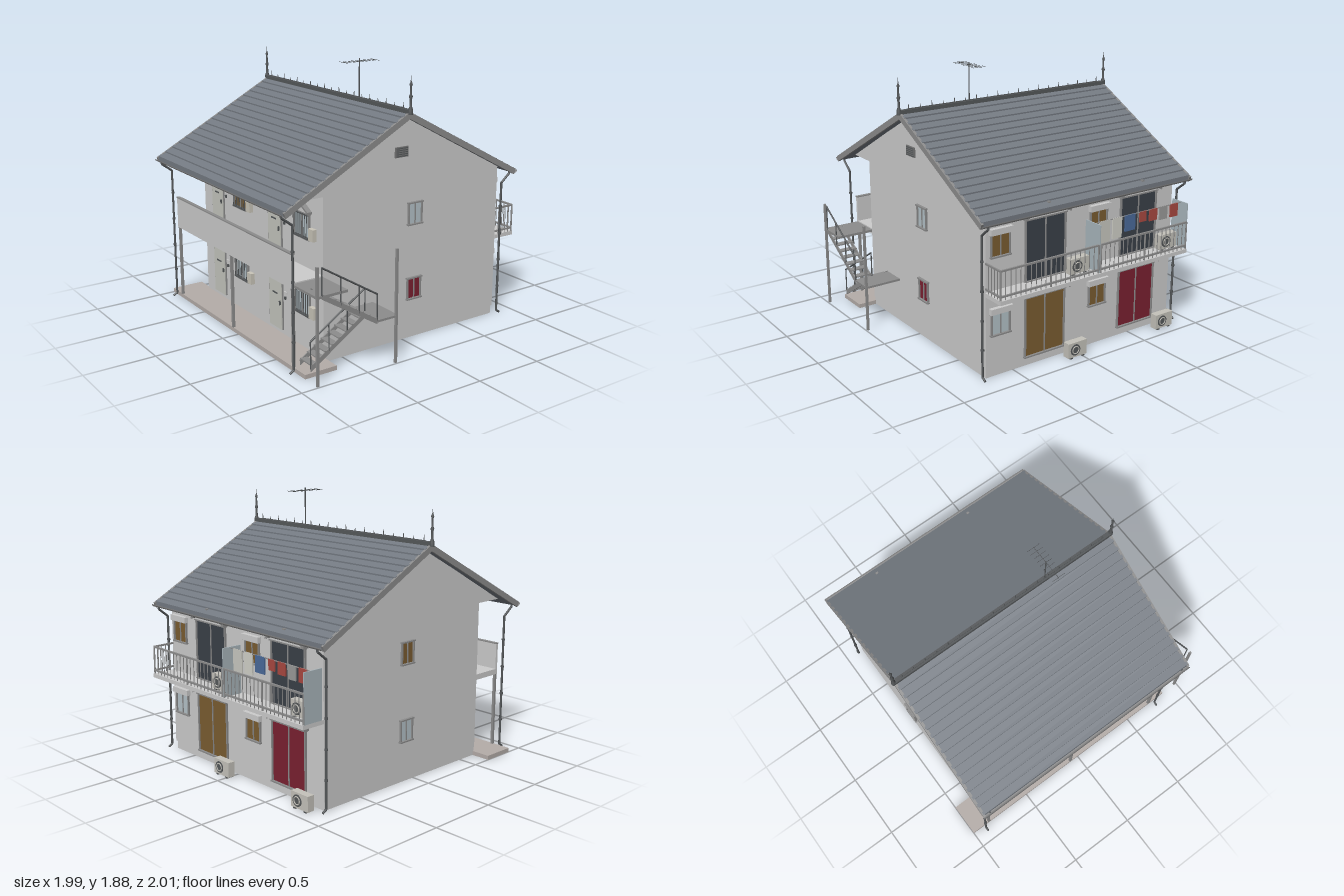
import * as THREE from 'three';

const WALL = 0xcccccc, DARK = 0x55585a, TRIM = 0x8c8c8c, GLASS = 0xb4c2c8, WOOD = 0x7a5c30, RED = 0x7a2030, NAVY = 0x3a4048;
const mats = {};
const mat = (c) => (mats[c] ??= new THREE.MeshStandardMaterial({ color: c, side: THREE.DoubleSide }));

function add(parent, name, geo, color = WALL) {
  const m = new THREE.Mesh(geo, mat(color));
  m.name = name;
  parent.add(m);
  return m;
}
function group(parent, name, x = 0, y = 0, z = 0, ry = 0) {
  const g = new THREE.Group();
  g.name = name;
  g.position.set(x, y, z);
  g.rotation.y = ry;
  parent.add(g);
  return g;
}
// box given by its limits on each axis
function box(p, name, x0, x1, y0, y1, z0, z1, color) {
  const g = new THREE.BoxGeometry(x1 - x0, y1 - y0, z1 - z0);
  return add(p, name, g.translate((x0 + x1) / 2, (y0 + y1) / 2, (z0 + z1) / 2), color);
}
// round rod between two points
function rod(p, name, a, b, r, color = DARK, r2 = r) {
  const A = new THREE.Vector3(...a), B = new THREE.Vector3(...b), d = B.clone().sub(A);
  const m = add(p, name, new THREE.CylinderGeometry(r2, r, d.length(), 8), color);
  m.position.copy(A).add(B).multiplyScalar(0.5);
  m.quaternion.setFromUnitVectors(new THREE.Vector3(0, 1, 0), d.normalize());
  return m;
}
// (z, y) outline extruded along x
function extrudeX(p, name, pts, x0, x1, color) {
  const s = new THREE.Shape(pts.map((q) => new THREE.Vector2(...q)));
  const g = new THREE.ExtrudeGeometry(s, { depth: x1 - x0, bevelEnabled: false });
  return add(p, name, g.rotateY(-Math.PI / 2).translate(x1, 0, 0), color);
}

// framed window or sliding door, facing local +z, origin at its bottom centre
function sash(p, name, w, h, pane, split = true) {
  const g = group(p, name), f = 0.01, d = 0.014;
  box(g, 'pane', -w / 2, w / 2, 0, h, -0.005, 0.004, pane);
  for (const s of [-1, 1]) box(g, 'sideFrame', s * w / 2 - f / 2, s * w / 2 + f / 2, 0, h, 0, d, TRIM);
  for (const y of [0, h]) box(g, 'crossFrame', -w / 2 - f, w / 2 + f, y - f / 2, y + f / 2, 0, d + 0.006, TRIM);
  if (split) box(g, 'meetingStile', -0.004, 0.004, 0, h, 0, 0.01, TRIM);
  return g;
}
// small gabled hood, origin at its base centre
function hood(p, w, h, depth) {
  const t = 0.016, g = group(p, 'gabledHood');
  const s = new THREE.Shape([[-w / 2, 0], [0, h], [w / 2, 0], [w / 2, t], [0, h + t], [-w / 2, t]].map((q) => new THREE.Vector2(...q)));
  add(g, 'hoodRoof', new THREE.ExtrudeGeometry(s, { depth, bevelEnabled: false }), TRIM);
  const tri = new THREE.Shape([[-w / 2 + 0.02, 0], [w / 2 - 0.02, 0], [0, h - 0.005]].map((q) => new THREE.Vector2(...q)));
  add(g, 'hoodFill', new THREE.ExtrudeGeometry(tri, { depth: depth * 0.5, bevelEnabled: false }), WALL);
  box(g, 'hoodRidge', -0.01, 0.01, h, h + 0.024, 0, depth + 0.003, TRIM);
  return g;
}

function roof(root) {
  const g = group(root, 'roof'), X0 = -0.955, X1 = 0.81, zr = 0.035, yr = 1.595, k = 0.533, L = 0.945, N = 17;
  const half = [];
  for (let i = 0; i < N; i++) {
    const a = (i * L) / N, b = ((i + 1) * L) / N;
    half.push([a, yr - k * a], [b, yr - k * b + 0.01]);
  }
  half.push([L, yr - k * L - 0.03]);
  const mirror = half.slice(1).reverse().map(([d, y]) => [zr - d, y]);
  extrudeX(g, 'tiles', [...half.map(([d, y]) => [zr + d, y]), [zr, yr - 0.03], ...mirror], X0 + 0.008, X1 - 0.008, 0x747a82);
  const e = L + 0.012, ye = yr + 0.006 - k * e;
  for (const x of [X0, X1 - 0.018])
    extrudeX(g, 'bargeboard', [[zr, yr + 0.006], [zr + e, ye], [zr + e - 0.015, ye - 0.036], [zr, yr - 0.04], [zr - e + 0.015, ye - 0.036], [zr - e, ye]], x, x + 0.018, TRIM);
  for (const s of [-1, 1]) {
    const c = new THREE.CylinderGeometry(0.02, 0.02, X1 - X0, 12, 1, true, 0, Math.PI);
    add(g, 'gutter', c.rotateZ(-Math.PI / 2).rotateX(0).translate((X0 + X1) / 2, 1.082, zr + s * 0.95), TRIM);
  }
  // ridge cap, cresting spikes and end finials
  box(g, 'ridgeCap', X0, X1, 1.585, 1.615, zr - 0.016, zr + 0.016, DARK);
  box(g, 'crestRail', X0 + 0.06, X1 - 0.06, 1.615, 1.62, zr - 0.004, zr + 0.004, DARK);
  for (let i = 0; i < 19; i++) {
    const x = -0.885 + i * 0.09;
    rod(g, 'crestSpike', [x, 1.61, zr], [x, i % 2 ? 1.64 : 1.655, zr], 0.005, DARK, 0.001);
  }
  const prof = [[0.016, 0], [0.016, 0.03], [0.009, 0.05], [0.008, 0.1], [0.013, 0.115], [0.007, 0.13], [0.006, 0.18], [0.011, 0.195], [0.004, 0.21], [0, 0.25]];
  for (const x of [X0 + 0.002, X1])
    add(g, 'finial', new THREE.LatheGeometry(prof.map((q) => new THREE.Vector2(...q)), 10).translate(x, 1.585, zr), DARK);
  // aerial
  const a = group(g, 'aerial', 0.255, 0, zr);
  rod(a, 'mast', [0, 1.58, 0], [0, 1.88, 0], 0.004);
  rod(a, 'boom', [0, 1.862, -0.135], [0, 1.862, 0.135], 0.002);
  for (let i = 0; i < 9; i++) rod(a, 'element', [-0.048, 1.862, -0.13 + i * 0.0325], [0.048, 1.862, -0.13 + i * 0.0325], 0.0015);
}

function frontBay(root, x, y, pane, lower) {
  const g = group(root, 'frontBay', x, y, 0.65);
  // door with frame, mail slot, bell
  box(g, 'doorFrame', -0.088, 0.088, 0, 0.382, 0, 0.008, TRIM);
  box(g, 'door', -0.078, 0.078, 0, 0.374, 0, 0.013, 0xc4c6be);
  box(g, 'mailSlot', -0.03, 0.03, 0.248, 0.258, 0, 0.017, DARK);
  box(g, 'handle', 0.062, 0.07, 0.18, 0.21, 0, 0.024, DARK);
  box(g, 'doorbell', 0.112, 0.126, 0.235, 0.255, 0, 0.012, DARK);
  box(g, 'namePlate', 0.1, 0.135, 0.275, 0.29, 0, 0.008, WALL);
  // barred window with hood, meter box
  const w = sash(g, 'frontWindow', 0.17, 0.17, pane);
  w.position.set(0.337, 0.208, 0);
  for (let i = 0; i < 8; i++) rod(w, 'windowBar', [-0.08 + i * 0.0229, 0, 0.022], [-0.08 + i * 0.0229, 0.17, 0.022], 0.0028);
  for (const yy of [0.006, 0.164]) box(w, 'barRail', -0.088, 0.088, yy - 0.004, yy + 0.004, 0.004, 0.026, DARK);
  hood(w, 0.215, 0.06, 0.035).position.y = 0.175;
  box(g, 'meterBox', 0.443, 0.498, 0.215, 0.295, 0, 0.03, 0xc8c4b8);
  if (lower) box(g, 'ceilingLamp', 0.11, 0.245, 0.475, 0.49, 0.09, 0.12, 0xd8d8d0);
}

function airConditioner(p, x, y) {
  const g = group(p, 'airConditioner', x, y, -0.905);
  box(g, 'casing', -0.078, 0.078, 0.01, 0.115, -0.026, 0.026, 0xc4c2ba);
  for (const s of [-0.05, 0.05]) box(g, 'foot', s - 0.01, s + 0.01, 0, 0.01, -0.026, 0.026, DARK);
  add(g, 'fan', new THREE.CylinderGeometry(0.04, 0.04, 0.006, 20).rotateX(Math.PI / 2).translate(0.02, 0.062, -0.027), DARK);
  add(g, 'fanRing', new THREE.TorusGeometry(0.026, 0.004, 6, 20).translate(0.02, 0.062, -0.031), 0xc4c2ba);
}

function backBay(root, x, y, doorPane, winPane) {
  const g = group(root, 'backBay', x, y, -0.83, Math.PI);
  hood(sash(g, 'patioDoor', 0.32, 0.42, doorPane), 0.37, 0.075, 0.04).position.y = 0.425;
  const w = sash(g, 'backWindow', 0.14, 0.15, winPane);
  w.position.set(-0.355, 0.225, 0);
  box(w, 'shutterBox', -0.085, 0.085, 0.15, 0.19, 0, 0.03, WALL);
}

function backBalcony(root) {
  const g = group(root, 'backBalcony'), zo = -0.99;
  box(g, 'floor', -0.865, 0.725, 0.572, 0.6, -1, -0.83);
  for (const [a, b] of [[-0.86, -0.085], [-0.065, 0.72]]) {
    for (const y of [0.625, 0.795]) box(g, 'handrail', a, b, y - 0.006, y + 0.006, zo - 0.006, zo + 0.006, TRIM);
    for (let i = 0; i <= 20; i++) rod(g, 'baluster', [a + ((b - a) * i) / 20, 0.6, zo], [a + ((b - a) * i) / 20, 0.795, zo], i % 10 ? 0.003 : 0.006, TRIM);
  }
  for (const y of [0.625, 0.795]) box(g, 'endRail', 0.714, 0.725, y - 0.006, y + 0.006, zo, -0.83, TRIM);
  for (let i = 1; i < 5; i++) rod(g, 'endBaluster', [0.72, 0.6, zo + i * 0.032], [0.72, 0.795, zo + i * 0.032], 0.003, TRIM);
  for (const x of [-0.862, -0.075]) box(g, 'screen', x - 0.004, x + 0.004, 0.6, 0.93, -0.99, -0.845, 0xa9b6bc);
  // laundry pole and washing
  rod(g, 'laundryPole', [-0.85, 0.925, -0.93], [-0.09, 0.925, -0.93], 0.004, TRIM);
  const wash = [[-0.16, 0.09, 0.15, 0xc8c8c0], [-0.27, 0.08, 0.14, 0xd0d0c8], [-0.385, 0.09, 0.11, 0x4a6a9a], [-0.5, 0.06, 0.07, 0xa84840], [-0.595, 0.07, 0.08, 0xa84840], [-0.69, 0.07, 0.09, 0x9a9a98], [-0.79, 0.07, 0.09, 0xa84840]];
  for (const [x, w, h, c] of wash) box(g, 'washing', x - w / 2, x + w / 2, 0.925 - h, 0.928, -0.935, -0.925, c);
  for (const x of [0.045, -0.75]) { airConditioner(g, x, 0.6); airConditioner(root, x, 0); }
}

function stairs(root) {
  const g = group(root, 'outsideStairs');
  const flight = (x0, x1, y0, y1, z0, z1) => {
    for (const x of [x0, x1 - 0.008])
      extrudeX(g, 'stringer', [[z0, y0 - 0.018], [z0, y0 + 0.018], [z1, y1 + 0.018], [z1, y1 - 0.018]], x, x + 0.008, TRIM);
    for (let i = 0; i < 8; i++) {
      const t = (i + 0.5) / 8, y = y0 + (y1 - y0) * t, z = z0 + (z1 - z0) * t;
      box(g, 'tread', x0, x1, y + 0.004, y + 0.012, z - 0.025, z + 0.025, TRIM);
    }
    for (const t of [0, 1 / 3, 2 / 3, 1]) {
      const y = y0 + (y1 - y0) * t, z = z0 + (z1 - z0) * t;
      rod(g, 'railPost', [x1 - 0.004, y, z], [x1 - 0.004, y + 0.185, z], 0.0045);
    }
    rod(g, 'handrail', [x1 - 0.004, y0 + 0.185, z0], [x1 - 0.004, y1 + 0.185, z1], 0.006);
  };
  flight(0.73, 0.86, 0.06, 0.325, 0.84, 0.42);
  flight(0.86, 0.99, 0.325, 0.585, 0.42, 0.84);
  box(g, 'midLanding', 0.72, 0.99, 0.318, 0.333, 0.255, 0.425, TRIM);
  box(g, 'topLanding', 0.72, 0.99, 0.575, 0.592, 0.65, 0.88, TRIM);
  for (const z of [0.265, 0.873]) box(g, 'stairPost', 0.976, 0.992, 0, 0.78, z - 0.008, z + 0.008, TRIM);
}

export function createModel() {
  const root = new THREE.Group();
  root.name = 'apartmentHouse';
  // walls, foundation, gable and front walkway
  box(root, 'foundation', -0.86, 0.715, 0, 0.06, -0.82, 0.65, 0xbdbdbd);
  box(root, 'walls', -0.865, 0.72, 0.06, 1.12, -0.83, 0.65);
  extrudeX(root, 'gable', [[0.86, 1.118], [0.035, 1.57], [-0.82, 1.118]], -0.868, 0.723, WALL);
  box(root, 'walkwaySlab', -1, 0.855, 0, 0.03, 0.64, 0.88, 0xb4aca8);
  box(root, 'galleryFloor', -0.865, 0.72, 0.56, 0.6, 0.65, 0.88);
  box(root, 'parapet', -0.865, 0.72, 0.56, 0.79, 0.865, 0.885);
  box(root, 'parapetCap', -0.867, 0.722, 0.785, 0.793, 0.862, 0.888, TRIM);
  for (const x of [-0.855, -0.072, 0.71]) box(root, 'column', x - 0.009, x + 0.009, 0.03, 0.56, 0.864, 0.882, TRIM);
  roof(root);
  // gable windows and vent
  for (const [s, x, top, low] of [[1, 0.72, GLASS, RED], [-1, -0.865, WOOD, GLASS]])
    [[0.817, top], [0.287, low]].forEach(([y, c]) => {
      const w = sash(root, 'sideWindow', 0.11, 0.15, c);
      w.position.set(x, y, -0.087);
      w.rotation.y = (s * Math.PI) / 2;
    });
  const vent = group(root, 'gableVent');
  box(vent, 'ventPlate', 0.72, 0.732, 1.29, 1.36, -0.016, 0.09, 0x777777);
  for (let i = 0; i < 5; i++) box(vent, 'louvre', 0.73, 0.737, 1.296 + i * 0.013, 1.302 + i * 0.013, -0.01, 0.084, DARK);
  // repeated bays on both long sides
  for (const [i, x] of [-0.648, 0.15].entries()) {
    frontBay(root, x, 0.06, GLASS, true);
    frontBay(root, x, 0.592, i ? GLASS : WOOD, false);
  }
  for (const [x, low, win] of [[0.255, WOOD, GLASS], [-0.545, RED, WOOD]]) {
    backBay(root, x, 0.07, low, win);
    backBay(root, x, 0.6, NAVY, WOOD);
  }
  backBalcony(root);
  stairs(root);
  // drainpipes with wall clips
  for (const x of [-0.9, 0.755])
    for (const [s, zw, ze] of [[1, 0.9, 0.98], [-1, -0.842, -0.915]]) {
      const g = group(root, 'drainpipe');
      const path = [[x, 1.07, ze], [x, 1.05, ze], [x, 0.99, zw], [x, 0.03, zw], [x, 0.012, zw + s * 0.03]];
      for (let i = 1; i < path.length; i++) rod(g, 'pipe', path[i - 1], path[i], 0.008);
      for (const y of [0.22, 0.42, 0.62, 0.82]) rod(g, 'clip', [x, y - 0.006, zw], [x, y + 0.006, zw], 0.012);
    }
  return root;
}
